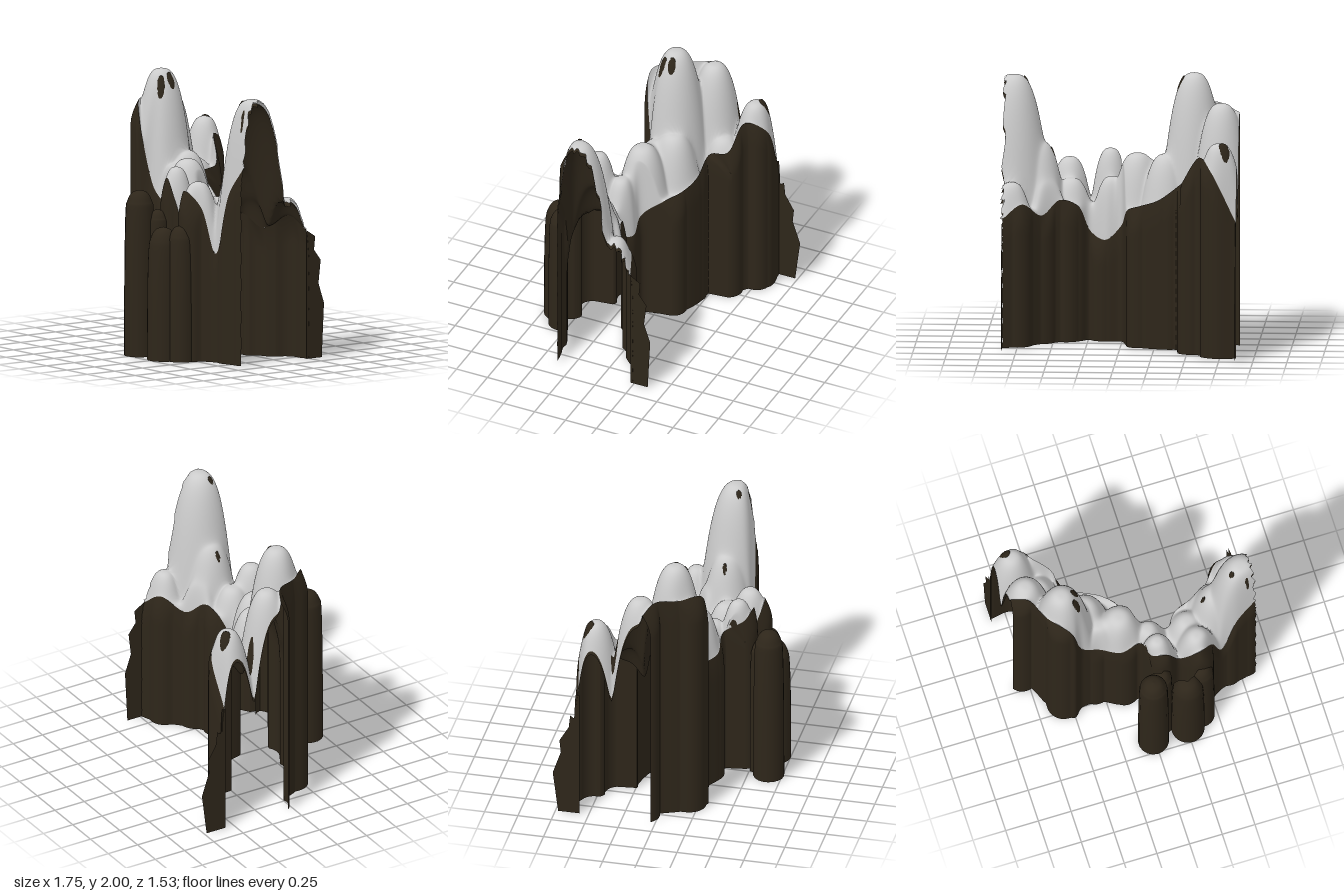
import * as THREE from 'three';

const rockMat = new THREE.MeshStandardMaterial({ color: 0x2e261a, roughness: 1, side: THREE.DoubleSide });
const snowMat = new THREE.MeshStandardMaterial({ color: 0xcccccc, side: THREE.DoubleSide });

// Stations along the cliff: [frontX, frontZ, backX, backZ, front snow line, back snow line]
const stations = [
  [-.87, -.08, -.87, -.60, 1.74, 1.0], [-.75, -.01, -.68, -.60, 1.79, 1.38],
  [-.67, .15, -.59, -.47, 1.78, 1.46], [-.54, .30, -.46, -.40, 1.76, 1.26],
  [-.41, .25, -.44, -.26, 1.16, 1.22], [-.29, .25, -.28, -.23, 1.06, 1.1],
  [-.15, .32, -.15, -.18, 1.06, 1.05], [0, .32, -.05, -.08, 1.15, 1.0],
  [.04, .47, .01, .09, 1.25, .85], [.14, .52, .12, .09, 1.31, .75],
  [.25, .47, .23, .15, 1.02, .8], [.38, .55, .32, .08, 1.25, 1.0],
  [.49, .48, .45, .04, 1.14, 1.05], [.59, .42, .58, -.05, .80, .95],
  [.72, .40, .72, -.18, 1.25, 1.05], [.86, .37, .86, -.24, 1.46, .95],
];
// Summits: [x, z, height, radius]
const peaks = [
  [-.74, -.14, 1.81, .15], [-.53, .07, 2.0, .155], [-.74, -.48, 1.57, .145], [-.6, -.28, 1.3, .15],
  [-.33, -.01, 1.41, .16], [-.11, .14, 1.39, .16], [-.28, .14, 1.33, .14], [.08, .22, 1.2, .13],
  [.1, .4, 1.38, .12], [.4, .42, 1.31, .14], [.38, .25, 1.18, .15], [.61, .2, 1.46, .15],
  [.8, .23, 1.95, .175], [.8, -.08, 1.2, .14], [.55, .08, 1.2, .14],
];
// Columns scalloping the walls: [x, z, radius]
const flutes = [
  [-.78, -.1, .11], [-.55, .18, .125], [-.3, .15, .115], [-.1, .22, .115], [.12, .44, .095],
  [.4, .48, .1], [.66, .3, .115], [.8, .27, .115],
  [-.14, -.09, .1], [-.53, -.35, .105], [-.7, -.5, .1], [-.36, -.14, .105], [.41, .15, .115],
  [.14, .19, .105], [.6, .07, .125], [.76, -.1, .115],
];
// Bare spots where rock shows through: [x, z, radius]
const spots = [[-.43, .06, .03], [-.44, .14, .03], [-.78, -.52, .04], [-.8, -.32, .03],
  [.71, .26, .022], [.81, .32, .016], [.51, .2, .018]];

const curve = (ix, iy, iz) => new THREE.CatmullRomCurve3(
  stations.map(s => new THREE.Vector3(s[ix], s[iy], s[iz])));
const front = curve(0, 4, 1), back = curve(2, 5, 3);   // y holds the snow line

const dist = (x, z, p) => Math.hypot(x - p[0], z - p[1]);

// Smooth union of all summits
function height(x, z) {
  const k = .045;
  let sum = Math.exp((1.0 - 2) / k);
  for (const p of peaks) sum += Math.exp((p[2] - .25 * (dist(x, z, p) / p[3]) ** 3 - 2) / k);
  return 2 + k * Math.log(sum);
}

// Smooth surface from a rule fn(u, v) -> Vector3
function grid(name, nu, nv, material, fn) {
  const pos = [], index = [];
  for (let i = 0; i <= nu; i++) for (let j = 0; j <= nv; j++) {
    const p = fn(i / nu, j / nv);
    pos.push(p.x, p.y, p.z);
    if (i < nu && j < nv) {
      const a = i * (nv + 1) + j, b = a + nv + 1;
      index.push(a, b, b + 1, a, b + 1, a + 1);
    }
  }
  const g = new THREE.BufferGeometry();
  g.setAttribute('position', new THREE.Float32BufferAttribute(pos, 3));
  g.setIndex(index);
  g.computeVertexNormals();
  const m = new THREE.Mesh(g, material);
  m.name = name;
  return m;
}

const INSET = .035;
// Point across the cliff from front (s = 0) to back (s = 1), torn at the +x end
function across(u, s, v) {
  const p = front.getPoint(u).lerp(back.getPoint(u), s);
  if (u === 1) p.x += .012 * Math.sin(v * 90) + .006 * Math.sin(v * 211);
  return p;
}

// Top surface, dropping steeply to the snow line at either edge
function cap(u, v, isRock) {
  const s = INSET + (1 - 2 * INSET) * (1 - Math.cos(Math.PI * v)) / 2;
  const p = across(u, s, v);
  const arch = 1 - Math.abs(2 * (s - INSET) / (1 - 2 * INSET) - 1) ** 11;
  let top = height(p.x, p.z);
  if (isRock) {
    let lift = -.03;
    for (const d of spots) lift += .07 * Math.exp(-((dist(p.x, p.z, d) / d[2]) ** 4));
    top += Math.min(lift, .012);
  }
  p.y = THREE.MathUtils.lerp((v < .5 ? front : back).getPoint(u).y, top, arch);
  return p;
}

// How far the outermost flute pushes the wall out at this station
function bulge(from, to) {
  const dx = to.x - from.x, dz = to.z - from.z, a = dx * dx + dz * dz;
  let best = 0;
  for (const [x, z, r] of flutes) {
    const ox = from.x - x, oz = from.z - z;
    const b = ox * dx + oz * dz, disc = b * b - a * (ox * ox + oz * oz - r * r);
    if (disc > 0) best = Math.min(best, (-b - Math.sqrt(disc)) / a);
  }
  return best;
}

// Scalloped wall: upright to its shoulder, then rounding in to the snow line
function wall(u, v, isBack) {
  const f = isBack ? 1 - v : v;
  const [near, far] = isBack ? [back, front] : [front, back];
  const n = near.getPoint(u);
  const g = Math.max(0, (f - .6) / .4);
  const s = THREE.MathUtils.lerp(bulge(n, far.getPoint(u)), INSET, g ** 2);
  const p = across(u, isBack ? 1 - s : s, v);
  p.y = g > 0 ? n.y - .2 * (1 - g) : (n.y - .2) * f / .6;
  return p;
}

// Round-topped rock column standing out from the wall, open towards it
function column(x, z, r, h, startDeg, sweepDeg) {
  const pts = [[r * 1.02, 0], [r, h * .5], [r * .93, h - r * 1.5], [r * .8, h - r * .7],
    [r * .5, h - r * .18], [0, h]].map(p => new THREE.Vector2(...p));
  const profile = new THREE.SplineCurve(pts).getPoints(24).map(p => p.setX(Math.max(p.x, 0)));
  const rad = THREE.MathUtils.degToRad;
  const m = new THREE.Mesh(new THREE.LatheGeometry(profile, 18, rad(startDeg), rad(sweepDeg)), rockMat);
  m.position.set(x, 0, z);
  m.name = 'rockColumn';
  return m;
}

// Thin torn flap of rock at an open end, outlined in (z, y)
function flap(x, outline) {
  const shape = new THREE.Shape(outline.map(p => new THREE.Vector2(-p[0], p[1])));
  const m = new THREE.Mesh(new THREE.ShapeGeometry(shape), rockMat);
  m.rotation.y = Math.PI / 2;
  m.position.x = x;
  m.name = 'tornEdge';
  return m;
}

export function createModel() {
  const group = new THREE.Group();
  group.name = 'snowyCliff';
  group.add(
    grid('frontRockWall', 300, 24, rockMat, (u, v) => wall(u, v, false)),
    grid('backRockWall', 300, 24, rockMat, (u, v) => wall(u, v, true)),
    grid('rockTop', 200, 56, rockMat, (u, v) => cap(u, v, true)),
    grid('snowCap', 200, 56, snowMat, (u, v) => cap(u, v, false)),
    // Free columns at the foot of the front bend
    column(-.01, .65, .112, 1.22, -180, 360),
    column(.26, .63, .12, .98, -120, 240),
    column(.08, .55, .085, 1.08, -120, 240),
    column(.38, .56, .1, 1.0, -60, 200),
    // Torn edges beyond the back wall
    flap(-.865, [[-.57, 0], [-.73, 0], [-.77, .32], [-.71, .5], [-.72, .6], [-.65, .72],
      [-.64, .82], [-.61, .8], [-.6, 1.0], [-.57, 1.0]]),
    flap(.86, [[-.22, 0], [-.36, 0], [-.38, .4], [-.33, .55], [-.35, .72], [-.29, .8],
      [-.3, .9], [-.22, .95]]),
  );
  return group;
}
